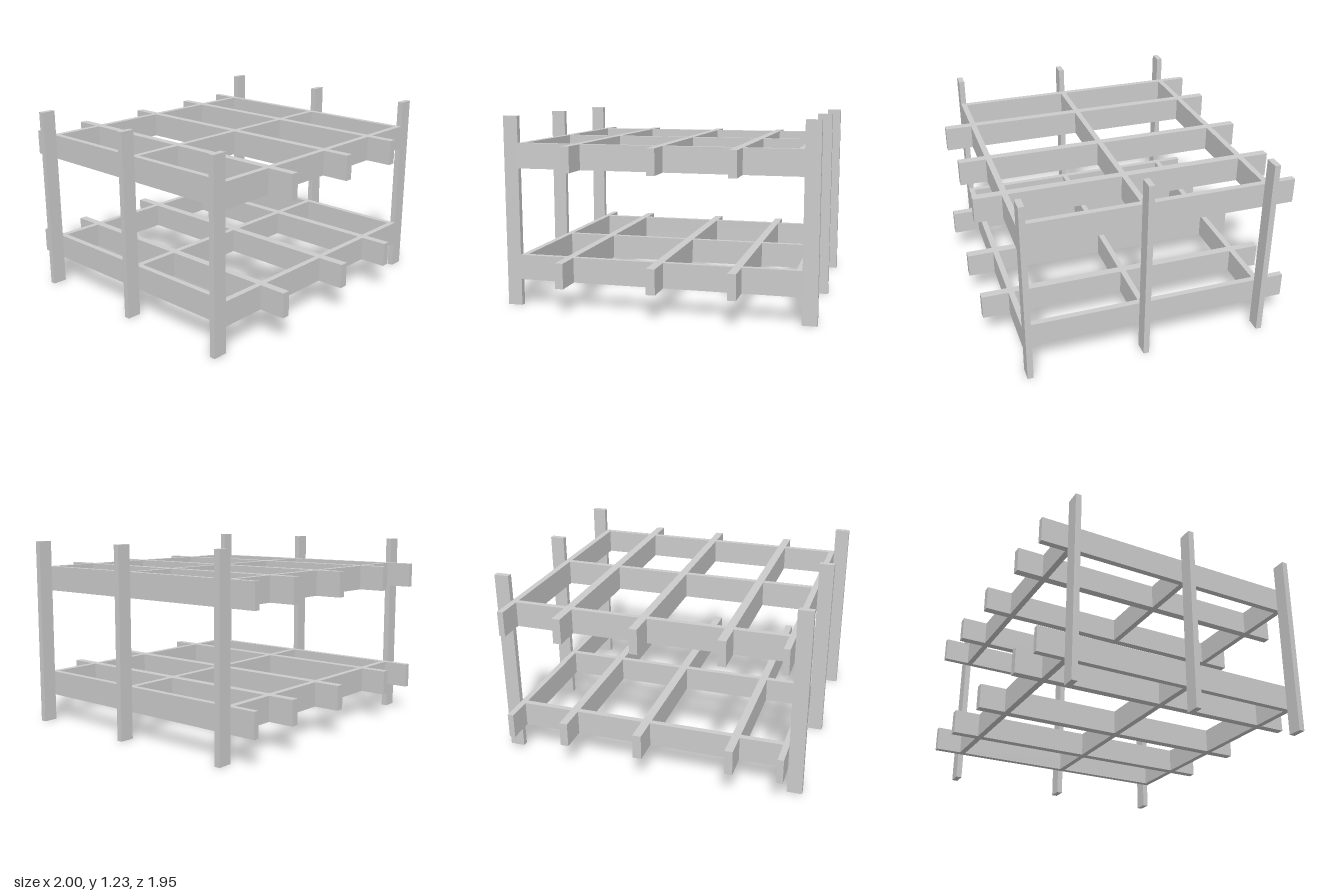
import * as THREE from 'three';

export function createModel() {
  const model = new THREE.Group();
  model.name = 'slattedRackFrame';
  const material = new THREE.MeshStandardMaterial({ color: 0xcccccc, flatShading: true });

  // Box given by its [min, max] range on each axis
  function board(name, parent, [x0, x1], [y0, y1], [z0, z1]) {
    const mesh = new THREE.Mesh(new THREE.BoxGeometry(x1 - x0, y1 - y0, z1 - z0), material);
    mesh.position.set((x0 + x1) / 2, (y0 + y1) / 2, (z0 + z1) / 2);
    mesh.name = name;
    parent.add(mesh);
  }

  const postInner = 0.905, height = 1.225;
  const frameZ = [0.779, 0.017, -0.784], halfThick = 0.019;
  const railBack = -0.974, railFront = 0.974;

  // Each tier: height range and the x ranges of its three long slats
  const tiers = [
    { name: 'lowerTier', y: [0.172, 0.333], slats: [[-0.595, -0.543], [-0.01, 0.047], [0.487, 0.54]] },
    { name: 'upperTier', y: [0.893, 1.055], slats: [[-0.54, -0.487], [-0.003, 0.049], [0.487, 0.54]] },
  ];

  // Three pairs of upright posts
  const posts = new THREE.Group();
  posts.name = 'posts';
  model.add(posts);
  for (const z of frameZ) {
    const zRange = [z - halfThick, z + halfThick];
    board('leftPost', posts, [postInner, 1], [0, height], zRange);
    board('rightPost', posts, [-1, -postInner], [0, height], zRange);
  }

  for (const tier of tiers) {
    const group = new THREE.Group();
    group.name = tier.name;
    model.add(group);

    // Cross beams joining each pair of posts
    for (const z of frameZ) {
      board('crossBeam', group, [-postInner, postInner], tier.y, [z - halfThick, z + halfThick]);
    }

    // Long slats running past the front and back beams
    for (const x of tier.slats) board('slat', group, x, tier.y, [railBack, railFront]);

    // Side rails against the posts, ending at the front beam
    const sideZ = [railBack, frameZ[0]];
    board('leftSideRail', group, [0.866, postInner], tier.y, sideZ);
    board('rightSideRail', group, [-postInner, -0.866], tier.y, sideZ);
  }

  return model;
}
